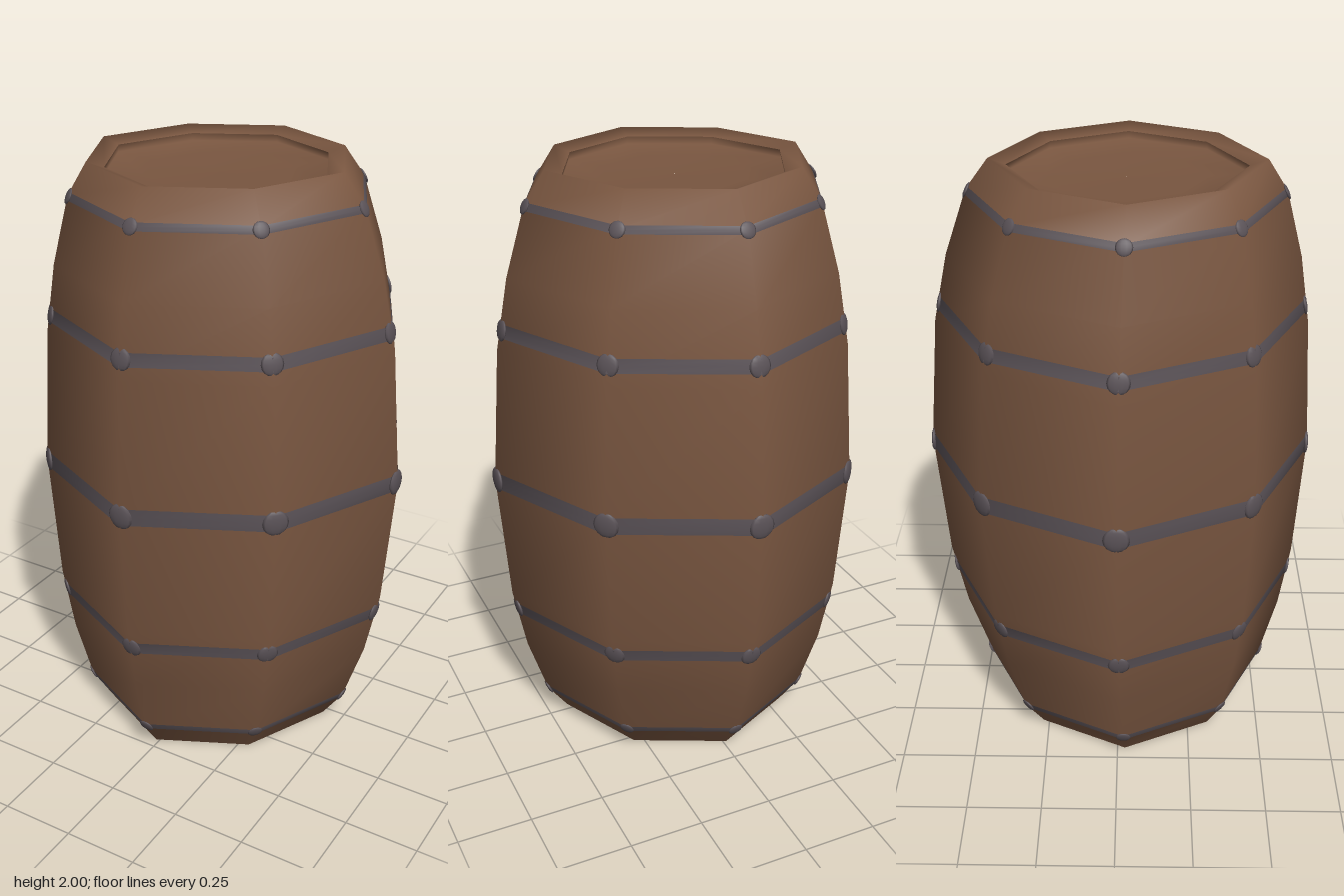
import * as THREE from 'three';

const wood = new THREE.MeshStandardMaterial({ color: 0x795640 });
wood.name = 'brown wood';
const iron = new THREE.MeshStandardMaterial({ color: 0x5a5257, side: THREE.DoubleSide });
iron.name = 'grey iron';

const SIDES = 8;
// [distance from mid height, radius]
const BULGE = [[0, 0.65], [0.45, 0.617], [0.68, 0.574], [0.9, 0.507], [1, 0.438]];

function radiusAt(y) {
  const t = Math.min(Math.abs(y - 1), 1);
  const i = Math.max(1, BULGE.findIndex((row) => row[0] >= t));
  const [t0, r0] = BULGE[i - 1], [t1, r1] = BULGE[i];
  return r0 + (r1 - r0) * (t - t0) / (t1 - t0);
}

// Corner i of the eight-sided section; the ends lean slightly off the axis
function corner(i, y, r) {
  const a = (i / SIDES) * Math.PI * 2;
  const k = r * (i % 2 ? 0.955 : 1);
  const lean = (y - 1) ** 2;
  return new THREE.Vector3(Math.sin(a) * k - 0.012 * lean, y, Math.cos(a) * k + 0.026 * lean);
}

// Smooth skin through a list of [y, radius] sections
function loft(name, rows, material) {
  const pos = [], index = [];
  rows.forEach(([y, r], j) => {
    for (let i = 0; i < SIDES; i++) {
      pos.push(...corner(i, y, r).toArray());
      if (j === rows.length - 1) continue;
      const a = j * SIDES + i, b = j * SIDES + (i + 1) % SIDES;
      index.push(a, b, b + SIDES, a, b + SIDES, a + SIDES);
    }
  });
  const g = new THREE.BufferGeometry();
  g.setAttribute('position', new THREE.Float32BufferAttribute(pos, 3));
  g.setIndex(index);
  g.computeVertexNormals();
  const mesh = new THREE.Mesh(g, material);
  mesh.name = name;
  return mesh;
}

export function createModel() {
  const barrel = new THREE.Group();
  barrel.name = 'barrel';

  // Bulging staves
  const ys = [0.1, 0.32, 0.55, 1, 1.45, 1.68, 1.9];
  barrel.add(loft('staves', ys.map((y) => [y, radiusAt(y)]), wood));

  // Rims: the top one is rounded over, the bottom one has a sharp edge
  barrel.add(loft('topRim', [[1.9, 0.507], [2, 0.438], [1.98, 0.38]], wood));
  barrel.add(loft('bottomLip', [[0, 0.438], [0.1, 0.507]], wood));
  barrel.add(loft('bottomRim', [[0.02, 0.38], [0, 0.438]], wood));

  // Almost flat heads set just inside the rims
  const head = [[0.02, 0.38], [0.045, 0.385], [0.055, 0.25], [0.058, 0.001]];
  barrel.add(loft('topHead', head.map(([d, r]) => [2 - d, r]), wood));
  barrel.add(loft('bottomHead', head.reverse(), wood));

  // Iron hoops, nearly flush, with a flat rounded stud on every corner
  for (const [y, h] of [[0.105, 0.024], [0.487, 0.044], [1, 0.058], [1.515, 0.044], [1.897, 0.024]]) {
    const hoop = new THREE.Group();
    hoop.name = 'hoop';
    const rows = [y - h / 2, y, y + h / 2].map((v) => [v, radiusAt(v) + 0.002]);
    hoop.add(loft('hoopBand', rows, iron));
    const size = h / 2 + 0.014;
    const tilt = Math.atan2(radiusAt(y - 0.03) - radiusAt(y + 0.03), 0.06);
    for (let i = 0; i < SIDES; i++) {
      const stud = new THREE.Mesh(new THREE.SphereGeometry(size, 10, 8), iron);
      stud.name = 'stud';
      stud.scale.z = 0.25;
      stud.position.copy(corner(i, y, radiusAt(y) - size * 0.25 + 0.003));
      stud.rotation.set(-tilt, (i / SIDES) * Math.PI * 2, 0, 'YXZ');
      hoop.add(stud);
    }
    barrel.add(hoop);
  }
  return barrel;
}
